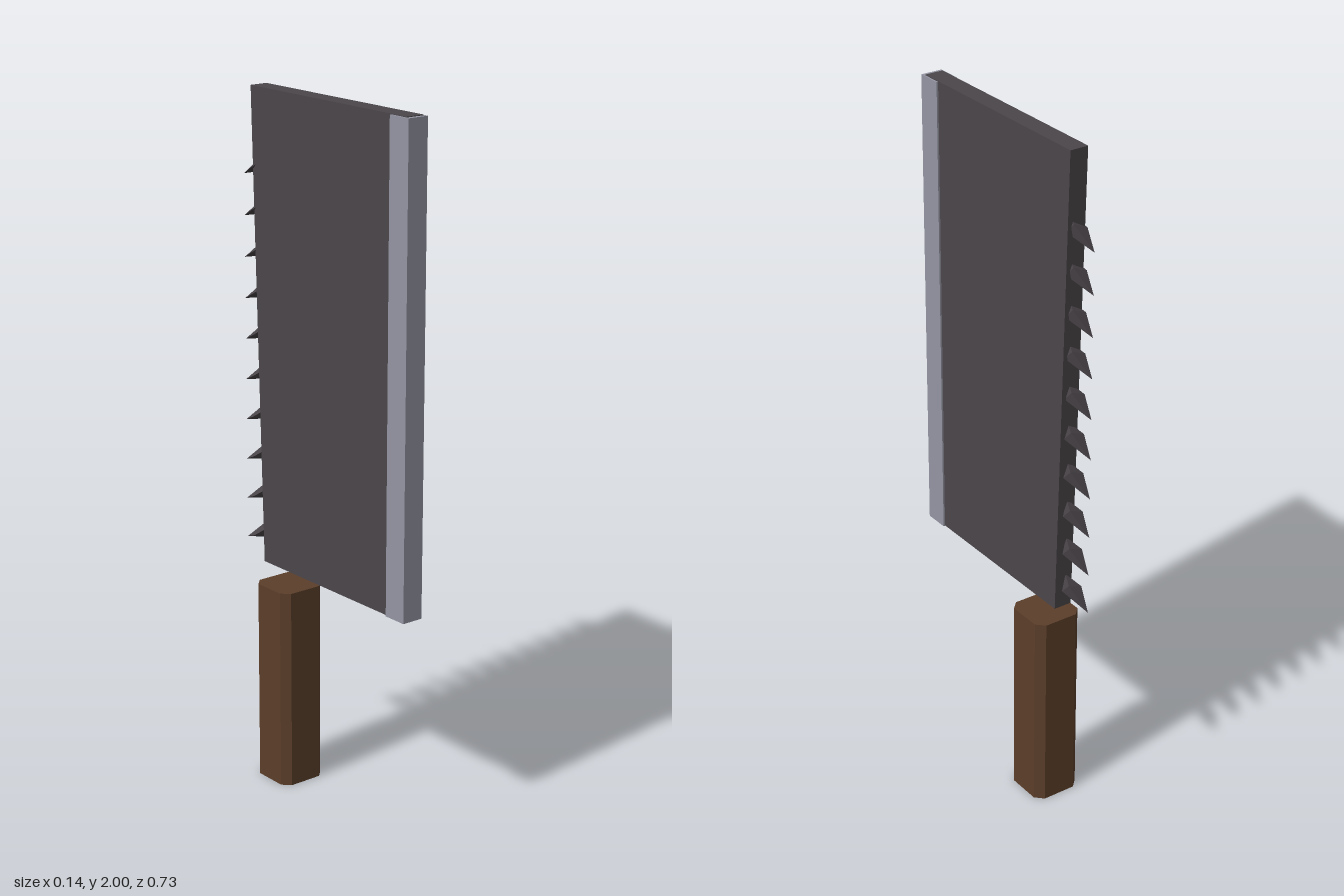
import * as THREE from 'three';
import { ConvexGeometry } from 'three/addons/geometries/ConvexGeometry.js';

const material = (name, color) => {
  const m = new THREE.MeshStandardMaterial({ color });
  m.name = name;
  return m;
};

const extrude = (points, depth) => new THREE.ExtrudeGeometry(
  new THREE.Shape(points.map(([x, y]) => new THREE.Vector2(x, y))),
  { depth, bevelEnabled: false });

export function createModel() {
  const darkSteel = material('dark steel', 0x4b464a);
  const paleSteel = material('pale steel', 0x9495a2);
  const wood = material('brown wood', 0x5c3f2a);
  const model = new THREE.Group();
  model.name = 'saw-backed cleaver';

  const add = (name, geometry, mat, x = 0, y = 0, z = 0) => {
    const mesh = new THREE.Mesh(geometry, mat);
    mesh.name = name;
    mesh.position.set(x, y, z);
    model.add(mesh);
  };

  // Blade: side profile in (z, y), widening slightly towards the top
  const blade = extrude([[0.353, 0.642], [0.353, 2], [-0.295, 2], [-0.25, 0.642]], 0.054);
  blade.rotateY(-Math.PI / 2);
  add('blade', blade, darkSteel, 0.027);

  // Cutting edge: a slightly thicker strip wrapped around the front
  add('cuttingEdge', new THREE.BoxGeometry(0.064, 1.357, 0.073), paleSteel, 0, 1.3195, 0.3285);

  // Handle: square with chamfered corners
  const r = 0.0725, c = 0.05;
  const handle = extrude([[r, -c], [r, c], [c, r], [-c, r], [-r, c], [-r, -c], [-c, -r], [c, -r]], 0.592);
  handle.rotateX(-Math.PI / 2);
  add('handle', handle, wood, 0, 0, -0.171);

  // Teeth: skewed pyramids pointing back and down
  const tooth = new ConvexGeometry([
    [0, 0, -0.365], [-0.035, 0.032, -0.287], [0.018, 0.058, -0.301],
    [-0.008, 0.062, -0.25], [0.014, 0.022, -0.265],
  ].map(p => new THREE.Vector3(...p)));
  for (let i = 0; i < 10; i++) add('tooth' + (i + 1), tooth, darkSteel, 0, 0.68 + i * 0.1183, 0);

  return model;
}
